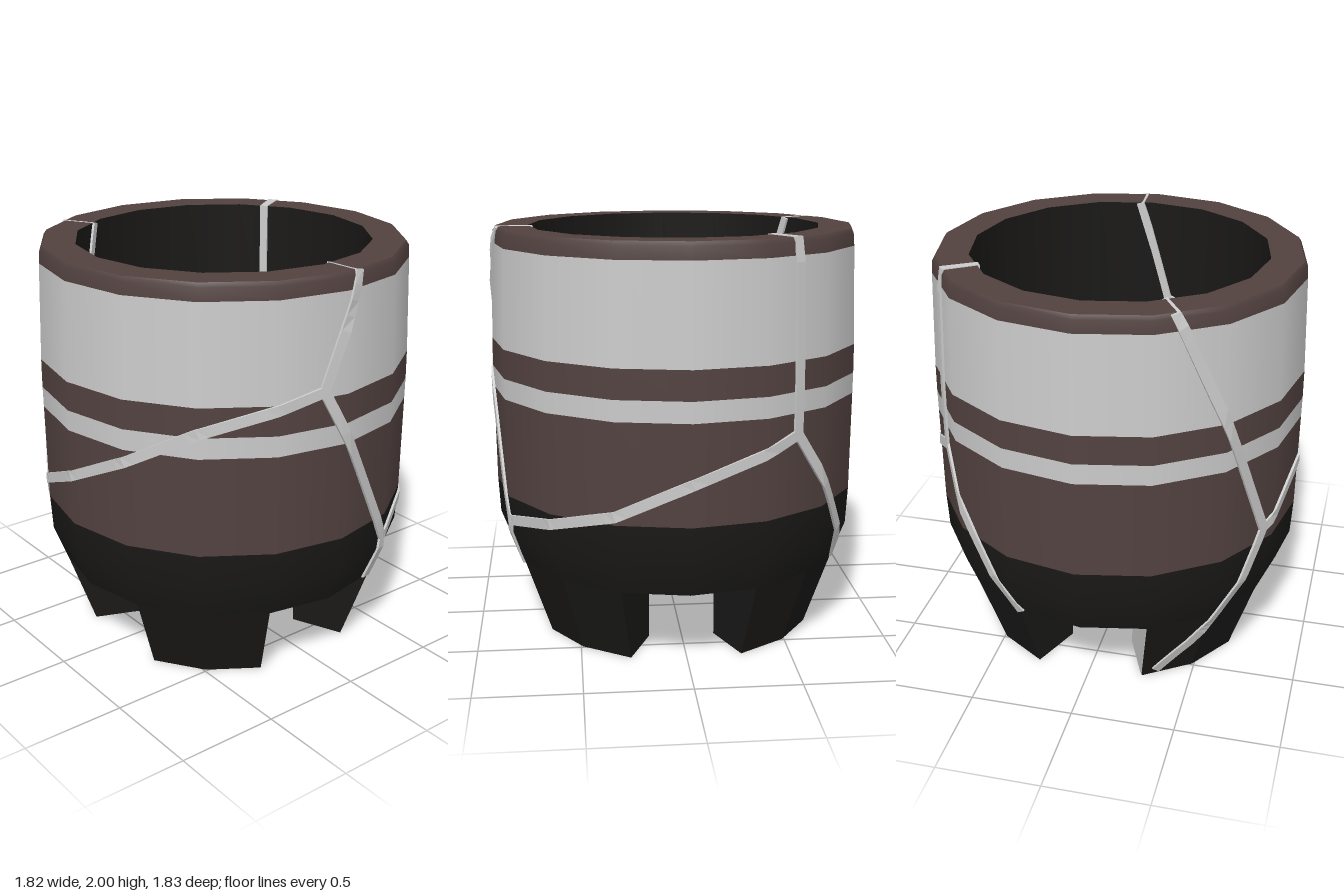
import * as THREE from 'three';

const SIDES = 16;
const STEP = (Math.PI * 2) / SIDES;
const BASE = 0.38, FLOOR = 0.55, INNER = 0.715;

const mat = (color) => new THREE.MeshStandardMaterial({ color, side: THREE.DoubleSide });
const brown = mat(0x524240), black = mat(0x1a1918), grey = mat(0xcccccc);

// Outer profile [radius, height], legs included
const PROFILE = [[0.693, 0], [0.825, BASE], [0.89, 0.55], [0.9, 0.73], [0.905, 1.21],
  [0.906, 1.31], [0.905, 1.45], [0.89, 1.92], [0.885, 1.98], [0.872, 2]];

function radiusAt(y) {
  for (let i = 1; i < PROFILE.length; i++) {
    const [r0, y0] = PROFILE[i - 1], [r1, y1] = PROFILE[i];
    if (y <= y1) return r0 + ((r1 - r0) * (y - y0)) / (y1 - y0);
  }
  return 0.872;
}

// Shrinks a radius to the flat faces of the sixteen-sided outline
function facet(phi) {
  const a = ((phi % STEP) + STEP) % STEP;
  return Math.cos(STEP / 2) / Math.cos(a - STEP / 2);
}

const polar = (phi, r, y) => new THREE.Vector3(Math.sin(phi) * r, y, Math.cos(phi) * r);

function addMesh(parent, geometry, material, name) {
  const mesh = new THREE.Mesh(geometry, material);
  mesh.name = name;
  parent.add(mesh);
  return mesh;
}

// Flat-shaded solid lofted through rings of points, capped at both ends
function loft(rings) {
  const out = [];
  const tri = (...p) => p.forEach((v) => out.push(v.x, v.y, v.z));
  const n = rings[0].length;
  for (let i = 0; i < rings.length - 1; i++) {
    for (let j = 0; j < n; j++) {
      const k = (j + 1) % n, a = rings[i], b = rings[i + 1];
      tri(a[j], a[k], b[k]);
      tri(a[j], b[k], b[j]);
    }
  }
  const first = rings[0], last = rings[rings.length - 1];
  for (let j = 1; j < n - 1; j++) {
    tri(first[0], first[j + 1], first[j]);
    tri(last[0], last[j], last[j + 1]);
  }
  const g = new THREE.BufferGeometry();
  g.setAttribute('position', new THREE.Float32BufferAttribute(out, 3));
  g.computeVertexNormals();
  return g;
}

const lathe = (points) => new THREE.LatheGeometry(points.map(([x, y]) => new THREE.Vector2(x, y)), SIDES);

// Repair seam through the wall, following [degrees, height] points
function seam(points, width = 0.05) {
  const path = [];
  points.forEach(([d, y], i) => {
    const p = [THREE.MathUtils.degToRad(d), y];
    if (i > 0) {
      const q = path[path.length - 1], steps = 8;
      const from = [...q];
      for (let s = 1; s <= steps; s++) {
        path.push([0, 1].map((c) => from[c] + ((p[c] - from[c]) * s) / steps));
      }
    } else path.push(p);
  });
  const rings = path.map(([phi, y], i) => {
    const a = path[Math.max(i - 1, 0)], b = path[Math.min(i + 1, path.length - 1)];
    const R = radiusAt(y);
    const t = new THREE.Vector2((b[0] - a[0]) * R, b[1] - a[1]).normalize();
    const corner = (side, outside) => {
      const f = phi + (side * t.y * width) / 2 / R;
      const h = Math.min(y - (side * t.x * width) / 2, 2.003);
      const outer = radiusAt(h) + 0.012;
      const inner = h > BASE ? INNER - 0.012 : outer - 0.08;
      return polar(f, (outside ? outer : inner) * facet(f), h);
    };
    return [corner(-1, true), corner(1, true), corner(1, false), corner(-1, false)];
  });
  return loft(rings);
}

export function createModel() {
  const model = new THREE.Group();
  model.name = 'mendedPot';

  // Painted bands of the outer wall
  const bands = [
    ['lowerBody', black, BASE, 0.73], ['wideBrownBand', brown, 0.73, 1.21],
    ['narrowGreyBand', grey, 1.21, 1.31], ['narrowBrownBand', brown, 1.31, 1.45],
    ['wideGreyBand', grey, 1.45, 1.92], ['rimBand', brown, 1.92, 2],
  ];
  for (const [name, material, lo, hi] of bands) {
    addMesh(model, lathe(PROFILE.filter(([, y]) => y >= lo && y <= hi)), material, name);
  }

  // Rim, inside and underside
  addMesh(model, lathe([[0.872, 2], [INNER, 2]]), brown, 'rim');
  addMesh(model, lathe([[INNER, 2], [INNER, FLOOR]]), black, 'innerWall');
  addMesh(model, lathe([[INNER, FLOOR], [0, FLOOR]]), black, 'floor');
  addMesh(model, lathe([[0, BASE], [0.825, BASE]]), black, 'underside');

  // Four tapered legs, each two facets wide
  const legRing = (turn, r, y) => [
    ...[1, 2, 3].map((k) => polar(turn + k * STEP, r, y)),
    ...[3, 2, 1].map((k) => polar(turn + k * STEP, 0.42, y)),
  ];
  for (let i = 0; i < 4; i++) {
    const turn = (i * Math.PI) / 2;
    addMesh(model, loft([legRing(turn, 0.693, 0), legRing(turn, 0.825, BASE)]), black, 'leg' + (i + 1));
  }

  // Repair seams on the wall
  const seams = new THREE.Group();
  seams.name = 'repairSeams';
  model.add(seams);
  const F = [-27, 0.8], R = [82, 1.48], B = [112, 0.61], K = [214, 1.11];
  const paths = {
    frontUpperSeam: [F, [-45, 1.45], [-61, 2.003]],
    frontCrossSeam: [F, [0, 0.98], [22.5, 1.15], [45, 1.33], [67.5, 1.43], R],
    frontLegSeam: [F, [-34, 0.58], [-41, 0.38], [-50, 0.2], [-62, 0.03]],
    leftUpperSeam: [R, [95, 2.003]],
    leftLowerSeam: [R, B],
    leftBaseSeam: [B, [110.5, BASE]],
    backCrossSeam: [B, [135, 0.68], [157.5, 0.77], [180, 0.93], K],
    backUpperSeam: [K, [214, 2.003]],
    backLowerSeam: [K, [248, BASE]],
  };
  for (const [name, points] of Object.entries(paths)) addMesh(seams, seam(points), grey, name);

  // Seams through the floor, meeting at one point
  const [jx, jz] = [-0.27, 0.14];
  for (const [x, z] of [[-0.45, 0.57], [-0.68, -0.3], [0.7, -0.26]]) {
    const length = Math.hypot(x - jx, z - jz);
    const slab = addMesh(seams, new THREE.BoxGeometry(length + 0.03, FLOOR - BASE + 0.03, 0.05), grey, 'floorSeam');
    slab.position.set((x + jx) / 2, (FLOOR + BASE) / 2, (z + jz) / 2);
    slab.rotation.y = -Math.atan2(z - jz, x - jx);
  }

  // Exposed filler on the side of the mended leg
  const a = -3 * STEP, n = polar(a - Math.PI / 2, 0.006, 0);
  const panel = [polar(a, 0.43, 0.01), polar(a, 0.685, 0.01), polar(a, 0.81, 0.37), polar(a, 0.43, 0.37)];
  addMesh(seams, loft([panel, panel.map((p) => p.clone().add(n))]), grey, 'legFiller');

  return model;
}
